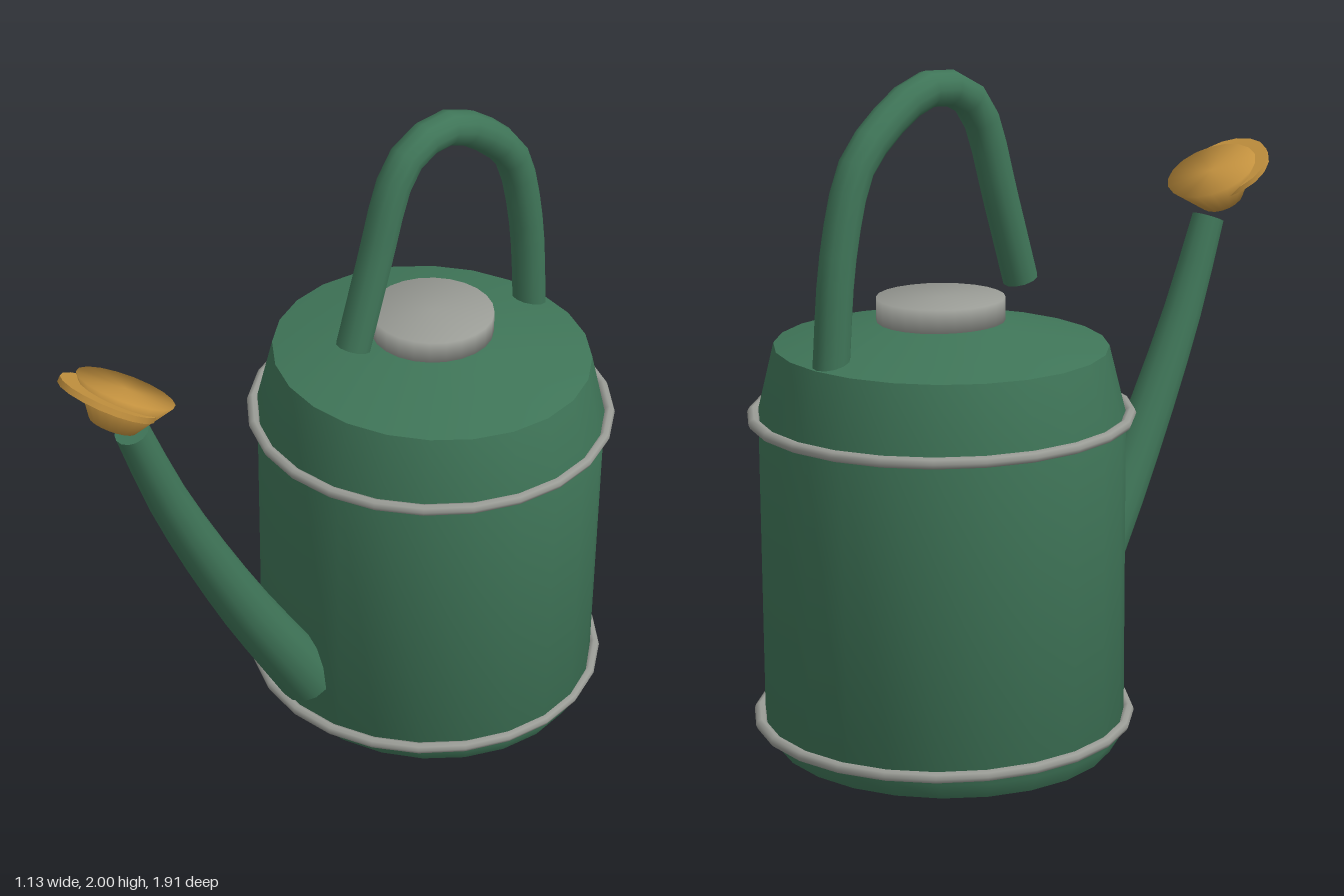
import * as THREE from 'three';
import { toCreasedNormals } from 'three/addons/utils/BufferGeometryUtils.js';

const mat = (name, color) => {
  const m = new THREE.MeshStandardMaterial({ color });
  m.name = name;
  return m;
};

const lathe = (profile, sides) =>
  new THREE.LatheGeometry(profile.map(([r, y]) => new THREE.Vector2(r, y)), sides);

// Capped tube in the x = 0 plane; points are [z, y], radius runs from r0 to r1
function taperedTube(name, points, r0, r1, segments, sides, material) {
  const group = new THREE.Group();
  group.name = name;
  const curve = new THREE.CatmullRomCurve3(points.map(([z, y]) => new THREE.Vector3(0, y, z)));
  const geo = new THREE.TubeGeometry(curve, segments, 1, sides);
  const pos = geo.attributes.position;
  const v = new THREE.Vector3();
  for (let i = 0; i <= segments; i++) {
    const t = i / segments;
    const centre = curve.getPointAt(t);
    const r = r0 + (r1 - r0) * t;
    for (let j = 0; j <= sides; j++) {
      const k = i * (sides + 1) + j;
      v.fromBufferAttribute(pos, k).sub(centre).multiplyScalar(r).add(centre);
      pos.setXYZ(k, v.x, v.y, v.z);
    }
  }
  const wall = new THREE.Mesh(geo, material);
  wall.name = name + 'Wall';
  group.add(wall);
  [[0, r0, -1], [1, r1, 1]].forEach(([t, r, dir]) => {
    const cap = new THREE.Mesh(new THREE.CircleGeometry(r, sides), material);
    cap.name = name + 'End';
    cap.position.copy(curve.getPointAt(t));
    cap.quaternion.setFromUnitVectors(new THREE.Vector3(0, 0, 1),
      curve.getTangentAt(t).multiplyScalar(dir));
    group.add(cap);
  });
  return group;
}

export function createModel() {
  const green = mat('green enamel', 0x3f7558);
  const grey = mat('grey metal', 0x9a9c96);
  const brass = mat('brass', 0xc4923f);
  const model = new THREE.Group();
  model.name = 'wateringCan';
  const add = (name, geo, material, parent = model) => {
    const m = new THREE.Mesh(geo, material);
    m.name = name;
    parent.add(m);
    return m;
  };

  // Tank, slightly narrower front to back
  const tank = new THREE.Group();
  tank.name = 'tank';
  tank.position.z = -0.39;
  model.add(tank);
  const body = lathe([[0, 0], [0.52, 0], [0.55, 0.05], [0.55, 1], [0.5, 1.2], [0.18, 1.275], [0, 1.275]], 24);
  add('body', toCreasedNormals(body, 0.6), green, tank).scale.z = 0.95;

  // Grey plate on the bottom bevel
  const plate = add('bevelPlate', new THREE.CylinderGeometry(0.553, 0.523, 0.05, 1, 1, true,
    Math.PI * 2 / 3, Math.PI / 12), grey, tank);
  plate.position.y = 0.025;
  plate.scale.z = 0.95;

  // Metal bands
  for (const y of [0.08, 0.995]) {
    const band = add('band', new THREE.TorusGeometry(0.55, 0.017, 8, 24), grey, tank);
    band.rotation.x = Math.PI / 2;
    band.position.y = y;
  }

  // Lid
  add('lid', lathe([[0, 1.26], [0.187, 1.26], [0.187, 1.34], [0, 1.34]], 24), grey, tank);

  // Handle arch and spout
  model.add(taperedTube('handle', [[-0.07, 1.345], [-0.15, 1.6], [-0.23, 1.845], [-0.29, 1.915],
    [-0.39, 1.947], [-0.485, 1.93], [-0.645, 1.82], [-0.71, 1.74], [-0.775, 1.51], [-0.81, 1.17]],
  0.053, 0.053, 20, 12, green));
  model.add(taperedTube('spout', [[0.12, 0.2], [0.385, 0.635], [0.63, 1.11], [0.755, 1.42]],
    0.093, 0.051, 9, 14, green));

  // Sprinkler rose: flared cup and a tilted disc through it
  const cup = add('rose', lathe([[0, 0], [0.068, 0], [0.145, 0.112], [0, 0.112]], 18), brass);
  cup.position.set(0, 1.468, 0.82);
  cup.rotation.x = -0.49;
  const disc = add('roseDisc', new THREE.CylinderGeometry(0.145, 0.145, 0.018, 18), brass);
  disc.position.set(0, 1.563, 0.83);
  disc.rotation.x = -0.56;

  return model;
}
